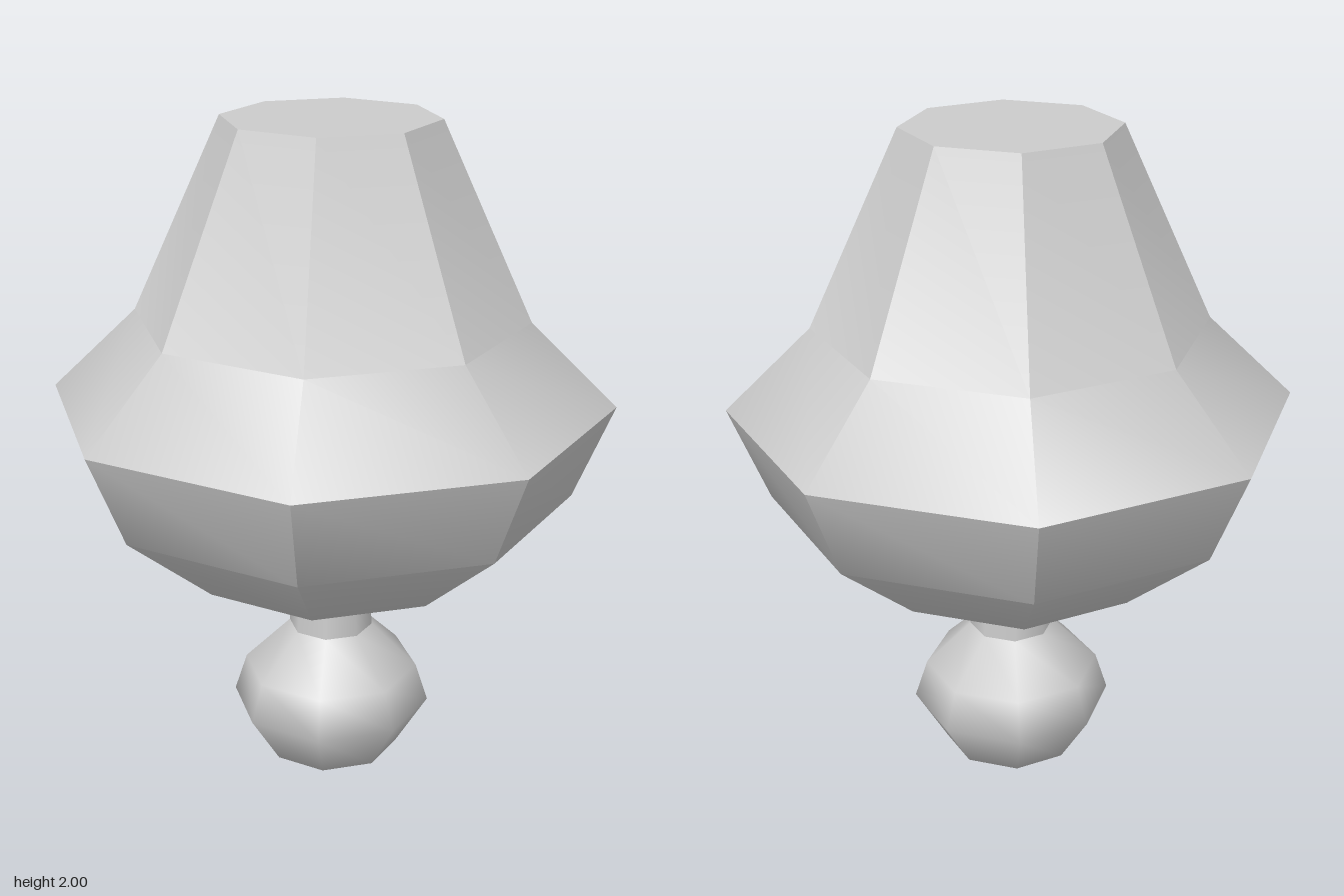
import * as THREE from 'three';
import { toCreasedNormals } from 'three/addons/utils/BufferGeometryUtils.js';

const SIDES = 8;

// Turns a [radius, height] profile (bottom to top) into an eight-sided solid
function turned(name, profile, creaseAngle) {
  const points = profile.map(([r, y]) => new THREE.Vector2(r, y));
  let geometry = new THREE.LatheGeometry(points, SIDES);
  if (creaseAngle) geometry = toCreasedNormals(geometry, THREE.MathUtils.degToRad(creaseAngle));
  const material = new THREE.MeshStandardMaterial({ color: 0xcccccc, side: THREE.DoubleSide });
  const mesh = new THREE.Mesh(geometry, material);
  mesh.name = name;
  return mesh;
}

export function createModel() {
  const group = new THREE.Group();
  group.name = 'finial';

  // Smooth knob hanging at the bottom
  group.add(turned('knob', [[0, 0.005], [0.2, 0.075], [0.297, 0.23], [0.26, 0.345], [0.125, 0.477]]));

  // Short neck joining knob and body
  group.add(turned('neck', [[0.125, 0.477], [0.117, 0.59]]));

  // Faceted body with a flat top, softened where its faces bend gently
  group.add(turned('body', [
    [0, 0.588], [0.117, 0.588], [0.43, 0.695], [0.7, 0.925], [0.813, 1.2],
    [0.565, 1.44], [0.307, 2], [0, 2],
  ], 35));

  return group;
}
